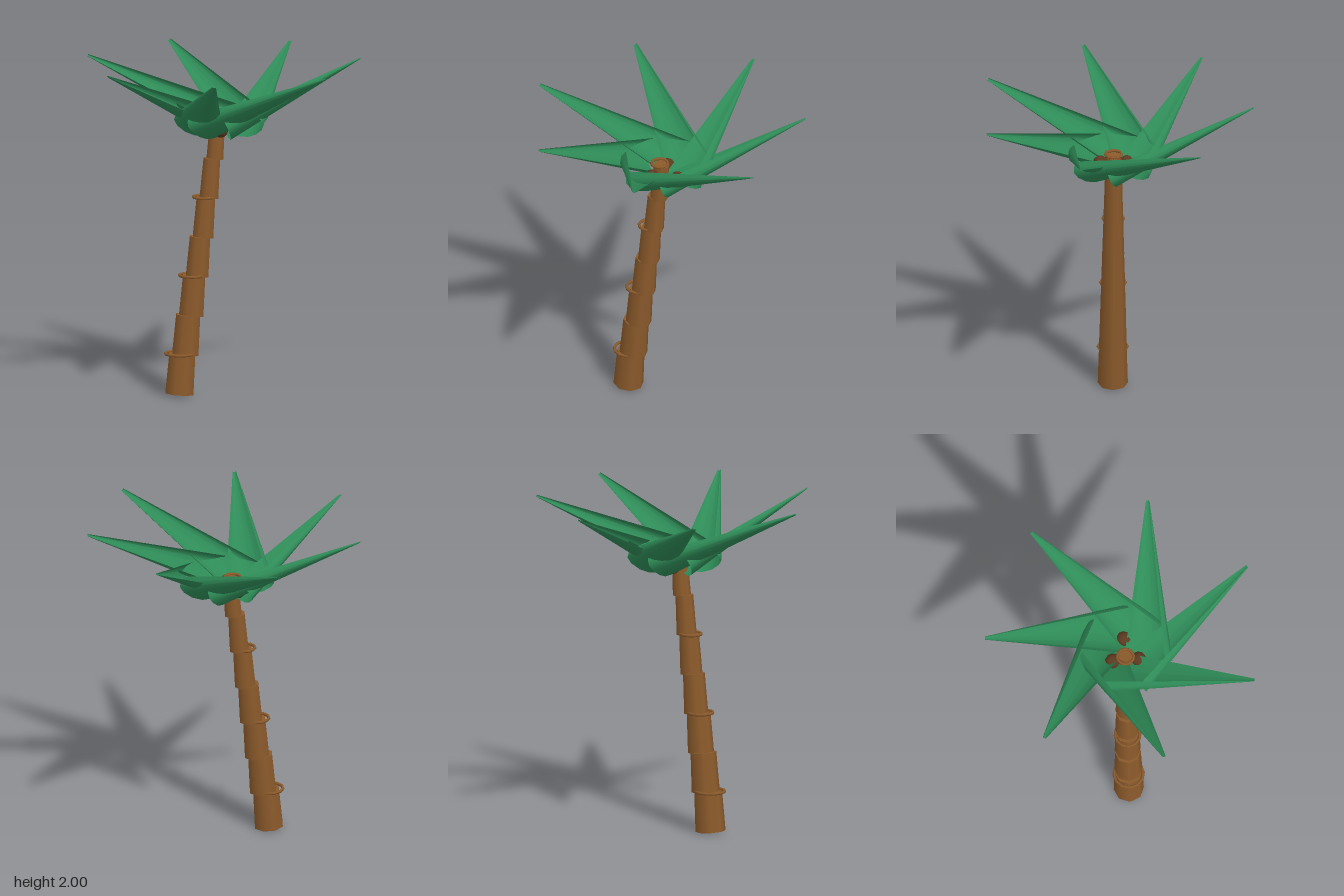
import * as THREE from 'three';

const CZ = 0.035; // depth of the trunk and crown centre

const mat = (color, side = THREE.FrontSide) => new THREE.MeshStandardMaterial({ color, side });

// Open trough-shaped frond pointing along +x: an arc at the crown, shrinking to a small arc at the tip
function frondGeometry() {
  // [sideways, height] of the arc, from the radial edge under the belly to the raised edge
  const arc = new THREE.SplineCurve([
    [0, 1.6], [0.05, 1.56], [0.14, 1.55], [0.22, 1.573], [0.28, 1.62], [0.286, 1.66], [0.25, 1.695],
  ].map(([s, y]) => new THREE.Vector2(s, y))).getPoints(8);
  const pos = [], index = [];
  arc.forEach((p, i) => {
    pos.push((1.6 - p.y) * 0.45, p.y, p.x);
    pos.push(0.835, 2 - (1.695 - p.y) * 0.07, p.x * 0.07);
    if (i) {
      const a = 2 * (i - 1);
      index.push(a, a + 1, a + 2, a + 1, a + 3, a + 2);
    }
  });
  const g = new THREE.BufferGeometry();
  g.setAttribute('position', new THREE.Float32BufferAttribute(pos, 3));
  g.setIndex(index);
  g.computeVertexNormals();
  return g;
}

export function createModel() {
  const palm = new THREE.Group();
  palm.name = 'palmTree';
  const bark = mat(0x8b5a2b), leaf = mat(0x2e8b57, THREE.DoubleSide), shell = mat(0x5c3a21);
  const add = (parent, name, geo, material, x, y, z) => {
    const m = new THREE.Mesh(geo, material);
    m.name = name;
    m.position.set(x, y, z);
    parent.add(m);
    return m;
  };

  // Leaning trunk of stepped, tapering segments, with a ring on every second one
  const trunk = new THREE.Group();
  trunk.name = 'trunk';
  palm.add(trunk);
  for (let i = 0; i < 7; i++) {
    const x = -0.27 + 0.0385 * i, y = 0.127 + 0.2345 * i;
    const seg = add(trunk, 'trunkSegment',
      new THREE.CylinderGeometry(0.083 - 0.006 * i, 0.09 - 0.006 * i, 0.24, 8), bark, x, y, CZ);
    seg.rotation.z = -0.08;
    if (i % 2 === 0) {
      const ring = add(trunk, 'trunkRing',
        new THREE.TorusGeometry(0.088 - 0.0065 * i, 0.009, 6, 12), bark, x - 0.006, y + 0.123, CZ);
      ring.rotation.x = Math.PI / 2;
    }
  }

  // Pinwheel of seven fronds
  const crown = new THREE.Group();
  crown.name = 'crown';
  palm.add(crown);
  const frondGeo = frondGeometry();
  for (let i = 0; i < 7; i++) {
    const frond = add(crown, 'frond', frondGeo, leaf, 0, 0, CZ);
    frond.rotation.y = -THREE.MathUtils.degToRad(13.5) - (i * 2 * Math.PI) / 7;
  }

  // Three coconuts under the crown
  for (let i = 0; i < 3; i++) {
    const a = (i * 2 * Math.PI) / 3;
    add(palm, 'coconut', new THREE.SphereGeometry(0.045, 10, 8), shell,
      0.09 * Math.cos(a), 1.6, CZ + 0.09 * Math.sin(a));
  }
  return palm;
}
